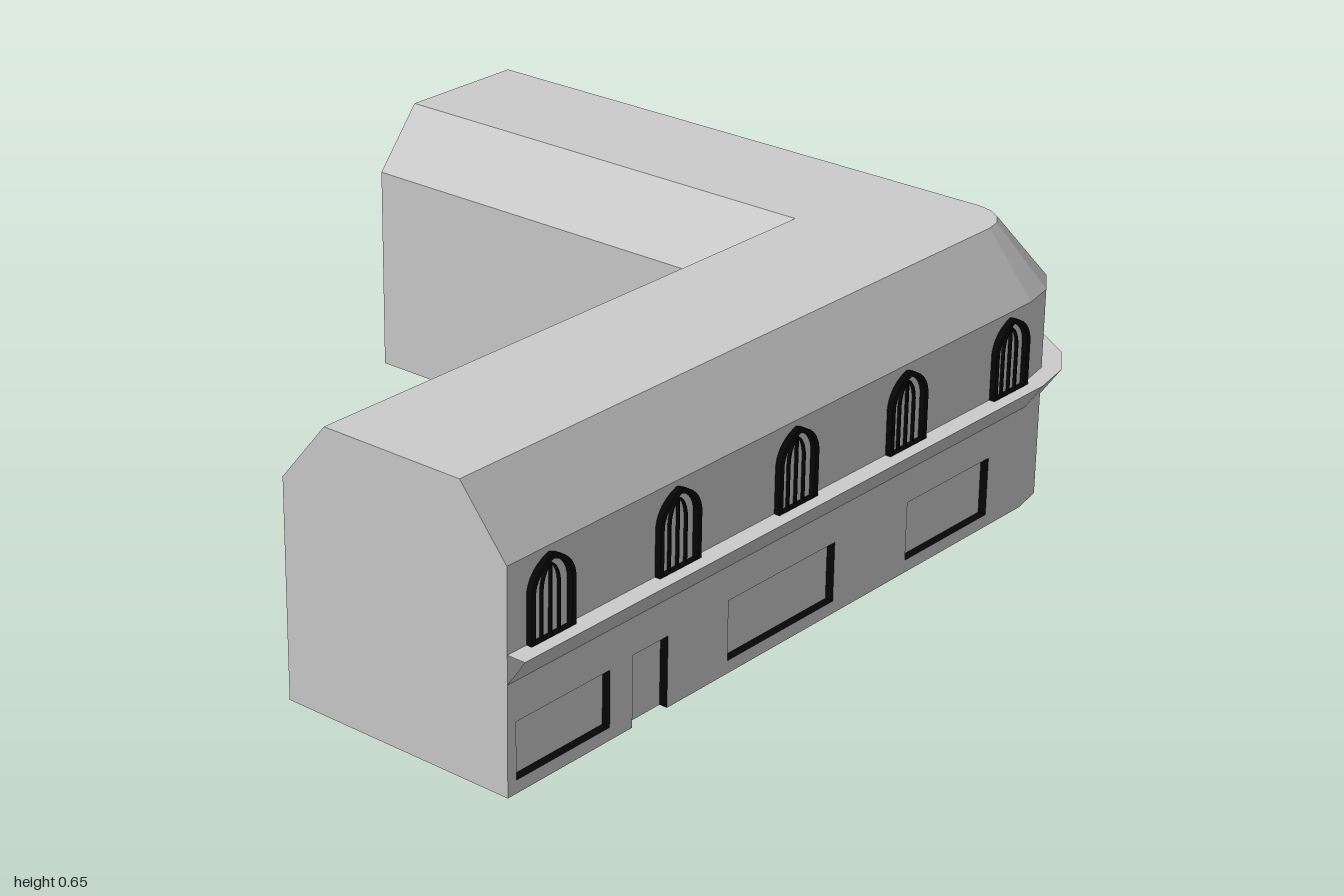
import * as THREE from 'three';

const grey = new THREE.MeshStandardMaterial({ color: 0xcccccc, side: THREE.DoubleSide, flatShading: true });
const black = new THREE.MeshStandardMaterial({ color: 0x060606, side: THREE.DoubleSide });

const EAVE = 0.505, TOP = 0.65, WALL = 0.22, RIDGE = 0.10, RECESS = 0.02;
const CX = 0.58, CZ = -0.74, LEFT = -0.85, FRONT = 1;

function add(parent, name, geometry, material = grey) {
  const mesh = new THREE.Mesh(geometry, material);
  mesh.name = name;
  parent.add(mesh);
  return mesh;
}

const poly = (pts) => new THREE.Shape(pts.map(([x, y]) => new THREE.Vector2(x, y)));

// Rounded street corner at distance r from its centre
function cornerPath(r) {
  const pts = [];
  for (let i = 0; i <= 4; i++) {
    const a = (i / 4) * Math.PI / 2;
    pts.push([CX + r * Math.sin(a), CZ - r * Math.cos(a)]);
  }
  return pts;
}
const streetPath = (r) => [[LEFT, CZ - r], ...cornerPath(r), [CX + r, FRONT]];
const yardPath = (d) => [[0.2 + d, FRONT], [0.2 + d, -0.38 - d], [LEFT, -0.38 - d]];

// Joins a profile of [offset, y] pairs along a path
function sweep(path, profile) {
  const rows = profile.map(([r, y]) => path(r).map(([x, z]) => [x, y, z]));
  const pos = [];
  for (let j = 0; j < rows.length - 1; j++) {
    for (let i = 0; i < rows[0].length - 1; i++) {
      const a = rows[j][i], b = rows[j][i + 1], c = rows[j + 1][i + 1], d = rows[j + 1][i];
      pos.push(...a, ...d, ...c, ...a, ...c, ...b);
    }
  }
  const g = new THREE.BufferGeometry();
  g.setAttribute('position', new THREE.Float32BufferAttribute(pos, 3));
  g.computeVertexNormals();
  return g;
}

// Pointed arch outline standing on y = base
function archOutline(Type, half, base, spring, apex) {
  const s = new Type();
  const bend = spring + (apex - spring) * 0.72;
  s.moveTo(-half, base);
  s.lineTo(half, base);
  s.lineTo(half, spring);
  s.quadraticCurveTo(half * 0.9, bend, 0, apex);
  s.quadraticCurveTo(-half * 0.9, bend, -half, spring);
  s.lineTo(-half, base);
  return s;
}

function archFrame(half, spring, apex, t, depth) {
  const s = archOutline(THREE.Shape, half, 0.315, spring, apex);
  s.holes.push(archOutline(THREE.Path, half - t, 0.317, spring, apex - t));
  return new THREE.ExtrudeGeometry(s, { depth, bevelEnabled: false, curveSegments: 6 });
}

const frameGeo = archFrame(0.065, 0.425, 0.493, 0.012, 0.014);
const lancetGeo = archFrame(0.027, 0.42, 0.472, 0.003, 0.008);
const mullionGeo = new THREE.BoxGeometry(0.003, 0.155, 0.008).translate(0, 0.3925, 0.004);

function archedWindow(u) {
  const g = new THREE.Group();
  g.name = 'archedWindow';
  add(g, 'windowFrame', frameGeo, black);
  add(g, 'innerLancet', lancetGeo, black);
  add(g, 'mullion', mullionGeo, black);
  g.position.x = u;
  return g;
}

// Recessed panel with dark reveals; the wall face lies at z = 0
function recess(name, [u0, u1, y0, y1]) {
  const g = new THREE.Group();
  g.name = name;
  const w = u1 - u0, h = y1 - y0;
  add(g, name + 'Panel', new THREE.PlaneGeometry(w, h)).position.z = -RECESS;
  for (const s of [-1, 1]) {
    const jamb = add(g, name + 'Jamb', new THREE.PlaneGeometry(RECESS, h), black);
    jamb.rotation.y = -s * Math.PI / 2;
    jamb.position.set(s * w / 2, 0, -RECESS / 2);
    if (s < 0 && y0 === 0) continue; // doors have no sill
    const rail = add(g, name + (s > 0 ? 'Head' : 'Sill'), new THREE.PlaneGeometry(w, RECESS), black);
    rail.rotation.x = s * Math.PI / 2;
    rail.position.set(0, s * h / 2, -RECESS / 2);
  }
  g.position.set((u0 + u1) / 2, (y0 + y1) / 2, 0);
  return g;
}

// Straight street wall with its door, shop windows and upper windows
function facade(name, u0, u1, door, shops, windows) {
  const g = new THREE.Group();
  g.name = name;
  const [d0, d1, , dTop] = door;
  const s = poly([[u0, 0], [d0, 0], [d0, dTop], [d1, dTop], [d1, 0], [u1, 0], [u1, EAVE], [u0, EAVE]]);
  for (const [a, b, c, d] of shops) s.holes.push(poly([[a, c], [a, d], [b, d], [b, c]]));
  add(g, name + 'Wall', new THREE.ShapeGeometry(s));
  g.add(recess('door', door));
  for (const r of shops) g.add(recess('shopWindow', r));
  for (const u of windows) g.add(archedWindow(u));
  return g;
}

export function createModel() {
  const model = new THREE.Group();
  model.name = 'cornerBuilding';

  // Right facade, u runs towards -z
  const right = facade('rightFacade', -FRONT, -CZ, [-0.625, -0.515, 0, 0.165],
    [[-0.975, -0.695, 0.03, 0.16], [-0.32, 0.04, 0.03, 0.17], [0.30, 0.605, 0.03, 0.17]],
    [-0.88, -0.495, -0.11, 0.275, 0.66]);
  right.rotation.y = Math.PI / 2;
  right.position.x = CX + WALL;
  model.add(right);

  // Back facade, u runs towards -x
  const back = facade('backFacade', -CX, -LEFT, [-0.40, -0.29, 0, 0.165],
    [[-0.115, 0.19, 0.03, 0.17], [0.51, 0.825, 0.03, 0.17]],
    [-0.55, -0.135, 0.275, 0.685]);
  back.rotation.y = Math.PI;
  back.position.z = CZ - WALL;
  model.add(back);

  // Rounded corner, street roof slope and projecting ledge
  add(model, 'cornerWall', sweep(cornerPath, [[WALL, 0], [WALL, EAVE]]));
  add(model, 'streetRoofSlope', sweep(streetPath, [[WALL, EAVE], [RIDGE, TOP]]));
  add(model, 'ledge', sweep(streetPath, [[WALL, 0.25], [0.265, 0.315], [WALL, 0.315]]));

  // Courtyard walls and roof slope
  add(model, 'courtyardWalls', sweep(yardPath, [[0, 0], [0, EAVE]]));
  add(model, 'courtyardRoofSlope', sweep(yardPath, [[0, EAVE], [0.12, TOP]]));

  // Flat roof: shape in (x, -z), laid down
  const outline = [...streetPath(RIDGE), ...yardPath(0.12)].map(([x, z]) => [x, -z]);
  const roof = add(model, 'flatRoof', new THREE.ShapeGeometry(poly(outline)));
  roof.rotation.x = -Math.PI / 2;
  roof.position.y = TOP;

  // Gable ends of both wings
  const gable = (a, b) => new THREE.ShapeGeometry(
    poly([[a, 0], [b, 0], [b, EAVE], [b - 0.12, TOP], [a + 0.12, TOP], [a, EAVE]]));
  add(model, 'frontEndWall', gable(0.2, 0.8)).position.z = FRONT;
  const leftEnd = add(model, 'leftEndWall', gable(-0.96, -0.38));
  leftEnd.rotation.y = -Math.PI / 2;
  leftEnd.position.x = LEFT;

  return model;
}
